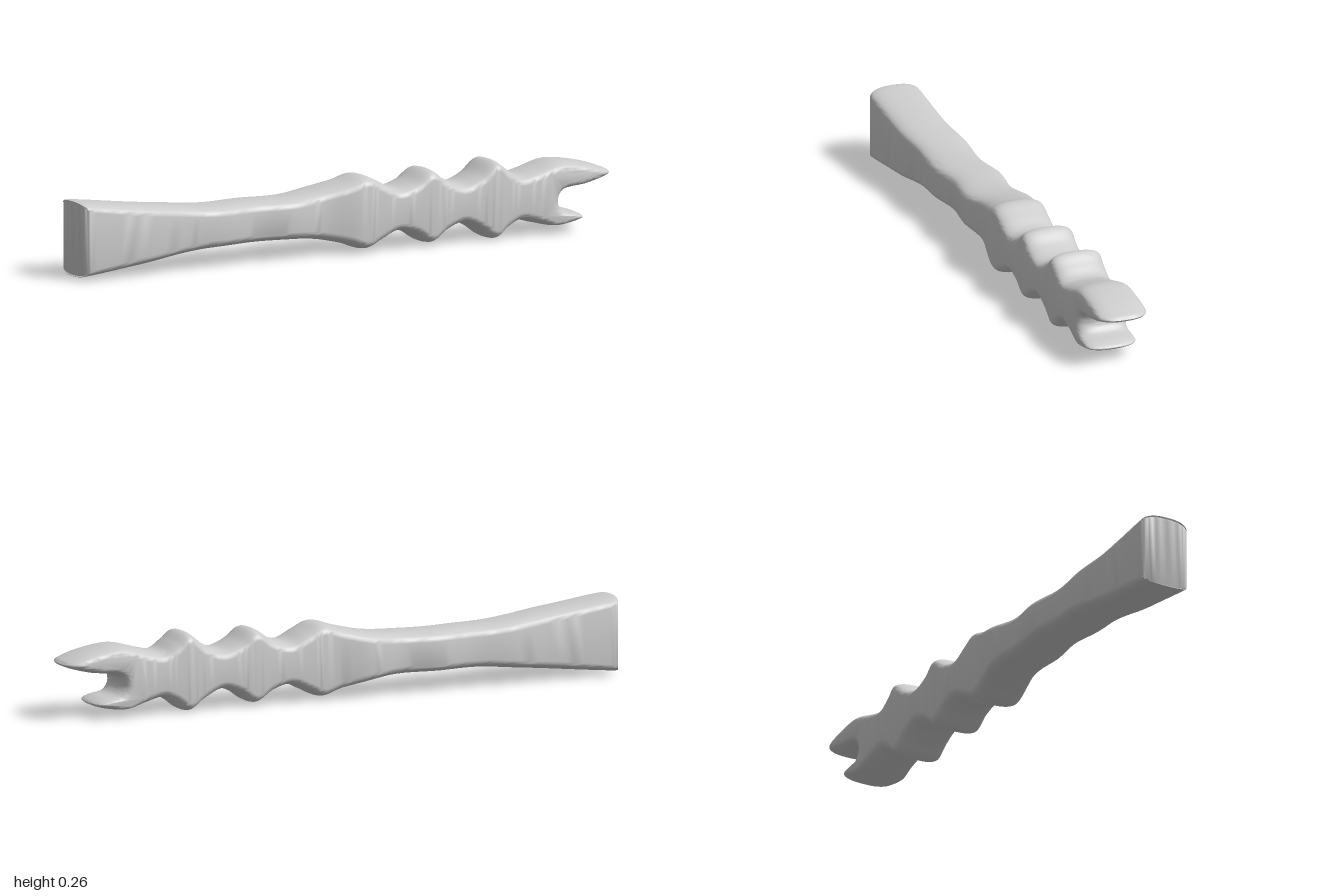
import * as THREE from 'three';
import { toCreasedNormals } from 'three/addons/utils/BufferGeometryUtils.js';

// Handle stations: x, bottom y, top y
const STATIONS = [
  [-1, 0.016, 0.252], [-0.985, 0.011, 0.261], [-0.8, 0.031, 0.238], [-0.6, 0.055, 0.214],
  [-0.5, 0.064, 0.206], [-0.35, 0.066, 0.205], [-0.2, 0.065, 0.206], [-0.1, 0.055, 0.216],
  [0, 0.034, 0.237], [0.07, 0.012, 0.256], [0.13, 0.036, 0.233], [0.19, 0.061, 0.206],
  [0.25, 0.046, 0.22], [0.315, 0.011, 0.257], [0.375, 0.046, 0.22], [0.435, 0.066, 0.2],
  [0.495, 0.04, 0.222], [0.555, 0.003, 0.265], [0.605, 0.034, 0.236], [0.65, 0.055, 0.209],
  [0.71, 0.042, 0.219],
];
// Forked tip: outline x, y, then where that point lies on the flat side face
const FORK = [
  [0.78, 0.027, 0.775, 0.045], [0.85, 0.033, 0.825, 0.05], [0.895, 0.05, 0.855, 0.056],
  [0.87, 0.067, 0.825, 0.062], [0.82, 0.08, 0.78, 0.07], [0.8, 0.112, 0.765, 0.112],
  [0.82, 0.145, 0.79, 0.163], [0.9, 0.156, 0.88, 0.177], [0.97, 0.174, 0.92, 0.185],
  [1, 0.19, 0.935, 0.192], [0.97, 0.207, 0.92, 0.198], [0.9, 0.228, 0.88, 0.205],
  [0.8, 0.241, 0.8, 0.212],
];
// Finger waves: x and sideways shift
const WAVES = [[-0.76, 0], [-0.6, -0.014], [-0.47, -0.007], [-0.335, -0.022],
  [-0.205, -0.008], [-0.09, -0.022], [0.05, 0]];
const STEPS = 6, LAYERS = 16, INSET = 0.032, HALF = 0.088, MID = 0.011;

function waveShift(x) {
  for (let i = 1; i < WAVES.length; i++) {
    const [x0, z0] = WAVES[i - 1], [x1, z1] = WAVES[i];
    if (x >= x0 && x <= x1) return THREE.MathUtils.lerp(z0, z1, THREE.MathUtils.smoothstep(x, x0, x1));
  }
  return 0;
}

function sampleCurve(points) {
  const curve = new THREE.CatmullRomCurve3(points.map(([x, y]) => new THREE.Vector3(x, y, 0)), false, 'catmullrom', 0.5);
  return curve.getPoints((points.length - 1) * STEPS);
}

function bodyGeometry() {
  // Outer outline, counterclockwise, and its inset copy
  const outer = [
    ...STATIONS.map(([x, b]) => [x, b]),
    ...FORK.map(([x, y]) => [x, y]),
    ...STATIONS.map(([x, , t]) => [x, t]).reverse(),
  ];
  const m = STATIONS.length, n = outer.length;
  const inner = outer.map(([x, y], i) => {
    if (i >= m && i < m + FORK.length) return FORK[i - m].slice(2);
    const a = outer[(i + n - 1) % n], b = outer[(i + 1) % n];
    const len = Math.hypot(b[0] - a[0], b[1] - a[1]);
    return [x - INSET * (b[1] - a[1]) / len, y + INSET * (b[0] - a[0]) / len];
  });
  // Keep the butt end's corners in order
  for (const [i, x] of [[0, -0.978], [1, -0.96], [n - 1, -0.978], [n - 2, -0.96]]) {
    inner[i] = [x, i < m ? 0.041 : 0.23];
  }
  const A = sampleCurve(outer), B = sampleCurve(inner), N = A.length;

  // Rounded rim: layers from back to front
  const pos = [], index = [];
  for (let l = 0; l <= LAYERS; l++) {
    const a = (l / LAYERS - 0.5) * Math.PI;
    const z = MID + HALF * Math.sign(a) * Math.abs(Math.sin(a)) ** 0.8;
    const f = 1 - Math.max(0, Math.cos(a)) ** 0.85;
    for (let i = 0; i < N; i++) {
      const p = A[i].clone().lerp(B[i], f);
      pos.push(p.x, p.y, z + waveShift(p.x));
    }
  }
  for (let l = 0; l < LAYERS; l++) {
    for (let i = 0; i < N; i++) {
      const j = (i + 1) % N, a = l * N + i, b = l * N + j;
      index.push(a, b, b + N, a, b + N, a + N);
    }
  }

  // Side faces: strips along the handle, then the fork
  const K = (m - 1) * STEPS, tris = [];
  for (let i = 0; i < K; i++) {
    const t = N - 1 - i;
    tris.push([i, i + 1, t - 1], [i, t - 1, t]);
  }
  const fork = B.slice(K, N - K).map((p) => new THREE.Vector2(p.x, p.y));
  for (const t of THREE.ShapeUtils.triangulateShape(fork, [])) tris.push(t.map((i) => i + K));
  const front = LAYERS * N;
  for (const [a, b, c] of tris) {
    index.push(front + a, front + b, front + c, a, c, b);
  }

  const geo = new THREE.BufferGeometry();
  geo.setAttribute('position', new THREE.Float32BufferAttribute(pos, 3));
  geo.setIndex(index);
  return toCreasedNormals(geo, 0.7);
}

export function createModel() {
  const group = new THREE.Group();
  group.name = 'forkedHandle';
  const body = new THREE.Mesh(bodyGeometry(), new THREE.MeshStandardMaterial({ color: 0xcccccc }));
  body.name = 'handleBody';
  group.add(body);
  return group;
}
